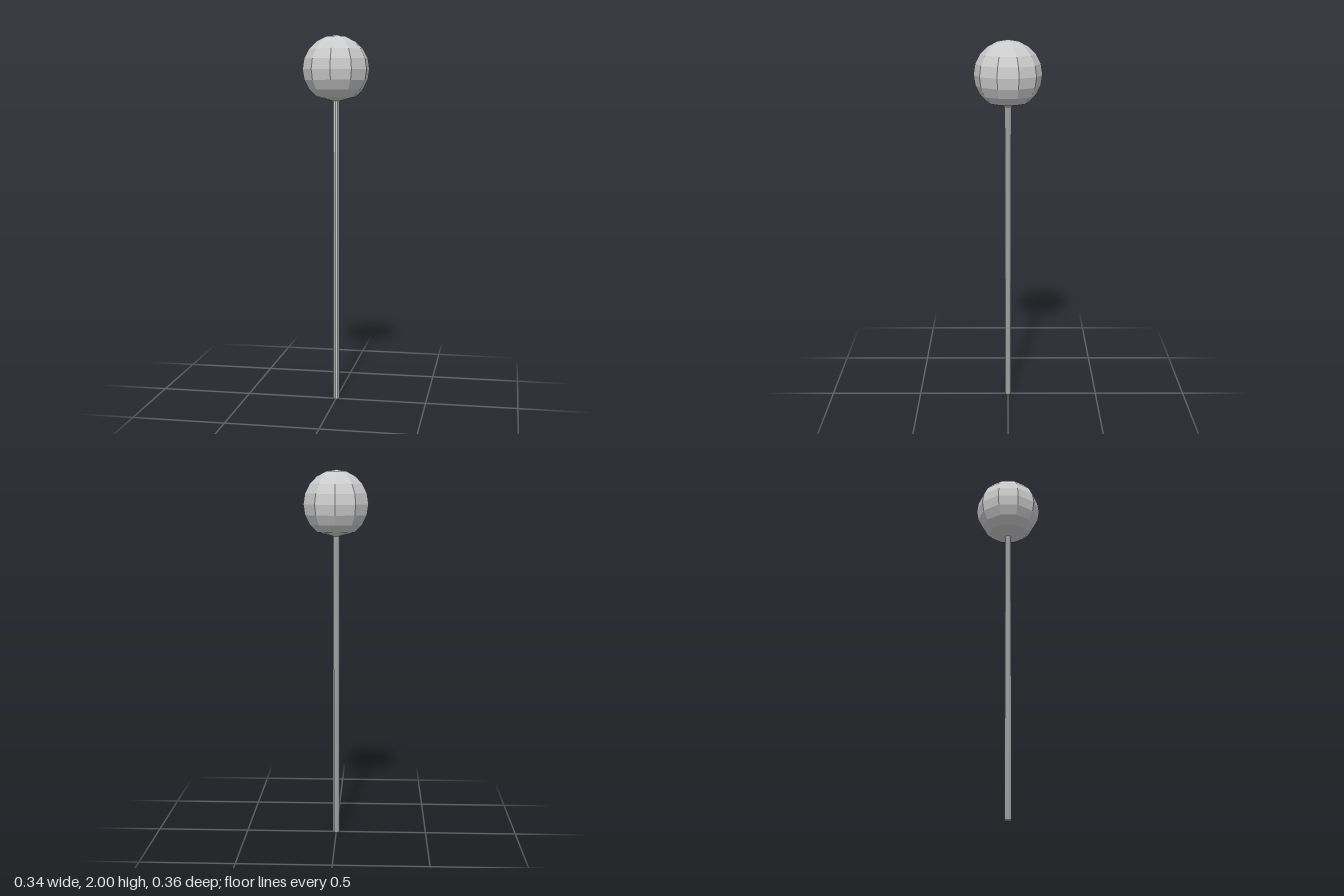
import * as THREE from 'three';

export function createModel() {
  const group = new THREE.Group();
  const material = new THREE.MeshStandardMaterial({ color: 0xcccccc, flatShading: true });
  const sides = 10, radius = 0.181, centreY = 1.819;
  const stickRadius = 0.018, stickHeight = 1.65;

  // Faceted ball: rings every 18 degrees, its underside drawn in to the stick
  const profile = [new THREE.Vector2(stickRadius, stickHeight)];
  for (let i = 2; i <= 10; i++) {
    const a = (i * Math.PI) / 10;
    profile.push(new THREE.Vector2(Math.max(0, radius * Math.sin(a)), centreY - radius * Math.cos(a)));
  }
  const head = new THREE.Mesh(new THREE.LatheGeometry(profile, sides), material);
  head.name = 'head';
  group.add(head);

  // Thin straight stick, reaching just inside the ball
  const length = stickHeight + 0.01;
  const stick = new THREE.Mesh(
    new THREE.CylinderGeometry(stickRadius, stickRadius, length, sides), material);
  stick.position.y = length / 2;
  stick.name = 'stick';
  group.add(stick);

  return group;
}
